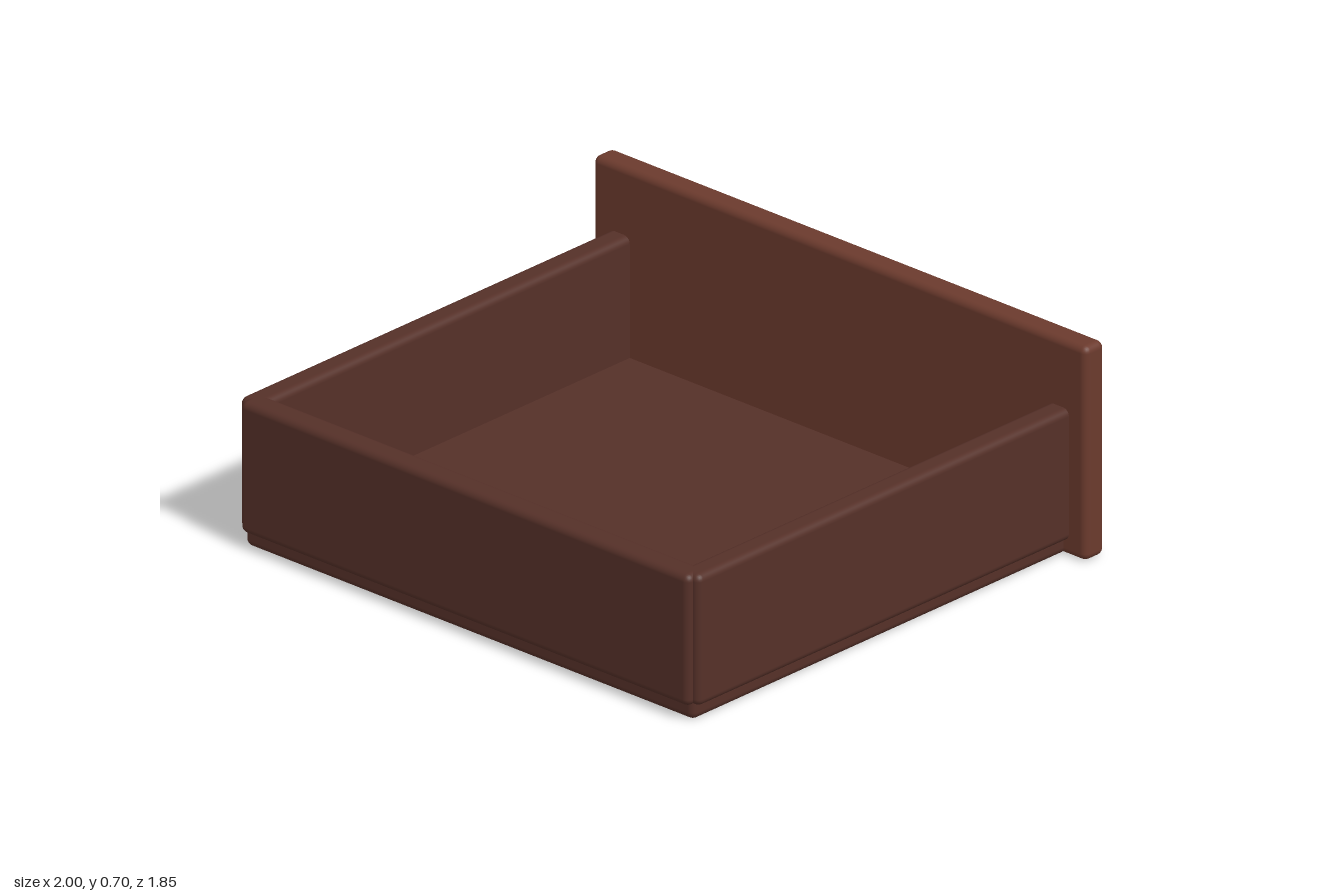
import * as THREE from 'three';
import { RoundedBoxGeometry } from 'three/addons/geometries/RoundedBoxGeometry.js';

const panelWood = new THREE.MeshStandardMaterial({ color: 0x6b3a2d });
const bodyWood = new THREE.MeshStandardMaterial({ color: 0x553028 });
const brass = new THREE.MeshStandardMaterial({ color: 0xb8964f });

// Board with rounded edges, given by its extents on each axis
function board(name, material, [x0, x1], [y0, y1], [z0, z1]) {
  const geometry = new RoundedBoxGeometry(x1 - x0, y1 - y0, z1 - z0, 3, 0.023);
  const mesh = new THREE.Mesh(geometry, material);
  mesh.position.set((x0 + x1) / 2, (y0 + y1) / 2, (z0 + z1) / 2);
  mesh.name = name;
  return mesh;
}

export function createModel() {
  const drawer = new THREE.Group();
  drawer.name = 'drawer';

  // Wide face panel carrying the knob
  drawer.add(board('facePanel', panelWood, [-1, 1], [0, 0.7], [-0.795, -0.71]));

  // Open tray: floor, two sides and the end wall
  drawer.add(board('floor', bodyWood, [-0.91, 0.91], [0, 0.085], [-0.735, 0.9]));
  drawer.add(board('leftSide', bodyWood, [0.848, 0.932], [0.05, 0.48], [-0.735, 0.9]));
  drawer.add(board('rightSide', bodyWood, [-0.932, -0.848], [0.05, 0.48], [-0.735, 0.9]));
  drawer.add(board('endWall', bodyWood, [-0.91, 0.91], [0.05, 0.48], [0.835, 0.922]));

  // Tapered knob with softened rims, widening away from the panel
  const profile = [
    [0, 0], [0.045, 0], [0.054, 0.004], [0.06, 0.015],
    [0.076, 0.108], [0.075, 0.118], [0.07, 0.126], [0.061, 0.13], [0, 0.13],
  ].map(([r, h]) => new THREE.Vector2(r, h));
  const knob = new THREE.Mesh(new THREE.LatheGeometry(profile, 32), brass);
  knob.rotation.x = -Math.PI / 2;
  knob.position.set(0, 0.395, -0.793);
  knob.name = 'knob';
  drawer.add(knob);

  return drawer;
}
